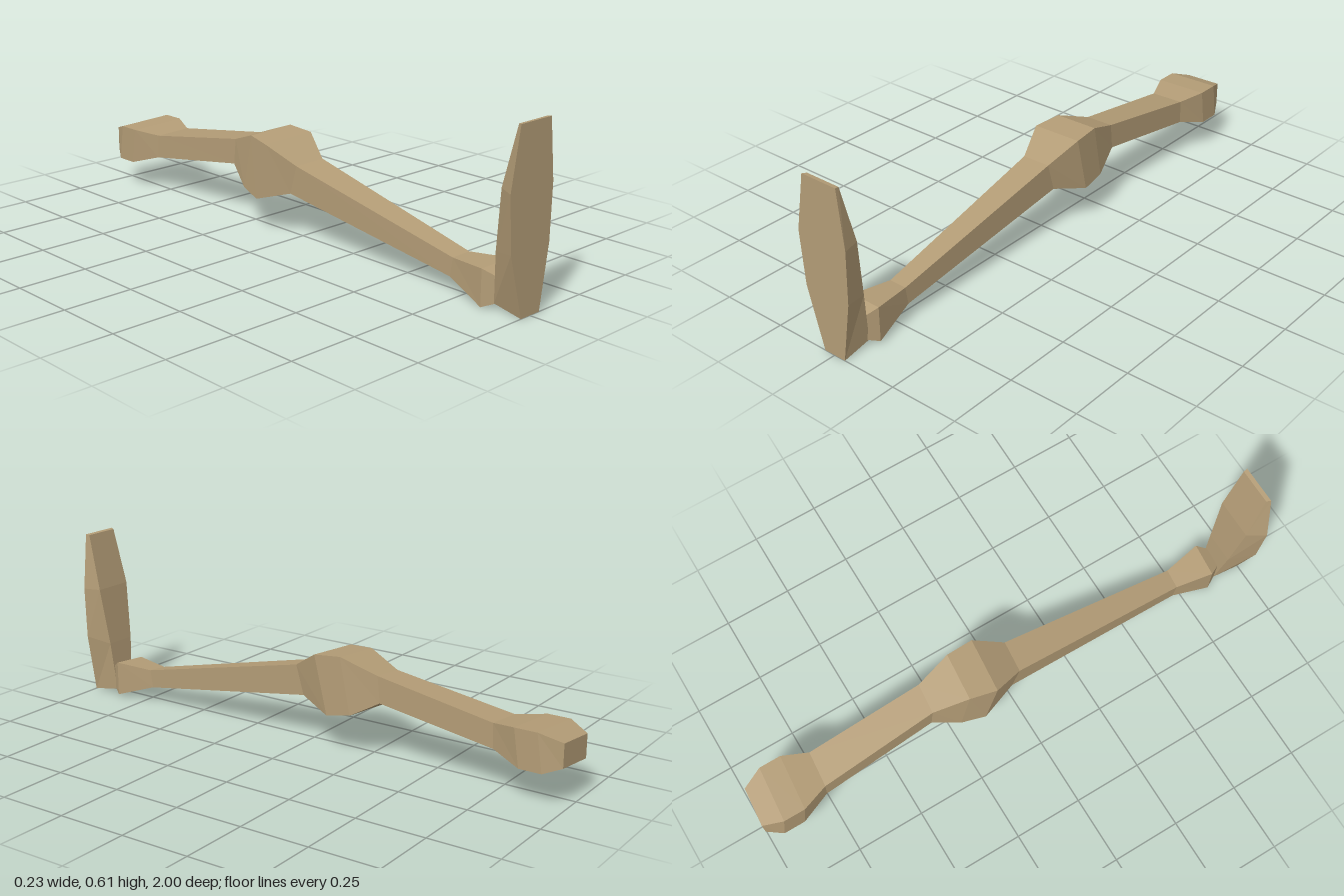
import * as THREE from 'three';

// Skin a list of four-cornered rings into a closed, faceted solid.
// Corners run counter-clockwise seen from the first ring's end.
function loft(rings) {
  const pos = [];
  const tri = (...pts) => pts.forEach((p) => pos.push(...p));
  for (let k = 0; k < rings.length - 1; k++) {
    for (let i = 0; i < 4; i++) {
      const j = (i + 1) % 4;
      const a = rings[k][i], b = rings[k][j];
      const c = rings[k + 1][j], d = rings[k + 1][i];
      tri(a, d, b);
      tri(b, d, c);
    }
  }
  const s = rings[0], e = rings[rings.length - 1];
  tri(s[0], s[1], s[2]); tri(s[0], s[2], s[3]);
  tri(e[0], e[2], e[1]); tri(e[0], e[3], e[2]);
  const g = new THREE.BufferGeometry();
  g.setAttribute('position', new THREE.Float32BufferAttribute(pos, 3));
  g.computeVertexNormals();
  return g;
}

// Limb section: top and bottom (z, y) and the x range, with a slight roll and yaw
const ROLL = 0.06, YAW = 0.08;
function limbRing([zt, yt, zb, yb, xl, xr]) {
  const corner = (x, y, z) => [x, y, Math.max(-1, z + YAW * x)];
  const lift = ROLL * (xr - xl);
  return [
    corner(xl, yb, zb), corner(xr, yb + lift, zb),
    corner(xr, yt, zt), corner(xl, yt - lift, zt),
  ];
}

// Foot section: height at front and back, front x range, back x range, back z
function footRing([yf, yb, fl, fr, bl, br, zb]) {
  return [[fl, yf, 1], [fr, yf, 1], [br, yb, zb], [bl, yb, zb]];
}

export function createModel() {
  const tan = new THREE.MeshStandardMaterial({ color: 0xb39c76 });
  tan.name = 'tan';
  tan.flatShading = true;
  const group = new THREE.Group();
  group.name = 'leg';
  const add = (name, rings) => {
    const mesh = new THREE.Mesh(loft(rings), tan);
    mesh.name = name;
    group.add(mesh);
  };

  // Ankle, shin, knee, thigh and hip, from front to back
  add('limb', [
    [0.90, 0.112, 0.90, 0.02, -0.035, 0.04],
    [0.86, 0.136, 0.86, 0.002, -0.058, 0.065],
    [0.72, 0.125, 0.71, 0.055, -0.032, 0.04],
    [0.03, 0.28, 0.00, 0.168, -0.055, 0.06],
    [-0.08, 0.347, -0.13, 0.127, -0.095, 0.105],
    [-0.18, 0.355, -0.22, 0.145, -0.075, 0.1],
    [-0.31, 0.306, -0.32, 0.205, -0.038, 0.073],
    [-0.745, 0.235, -0.75, 0.14, -0.052, 0.079],
    [-0.84, 0.25, -0.86, 0.105, -0.09, 0.115],
    [-0.92, 0.25, -0.94, 0.105, -0.09, 0.115],
    [-0.995, 0.222, -0.995, 0.13, -0.058, 0.085],
  ].map(limbRing));

  // Upright wedge-shaped foot, from toe tip down to heel
  add('foot', [
    [0.615, 0.613, -0.08, 0.062, -0.072, 0.06, 0.985],
    [0.41, 0.41, -0.117, 0.085, -0.08, 0.068, 0.937],
    [0.22, 0.2, -0.103, 0.08, -0.062, 0.052, 0.91],
    [0.002, 0.02, -0.042, 0.045, -0.038, 0.042, 0.892],
  ].map(footRing));

  return group;
}
